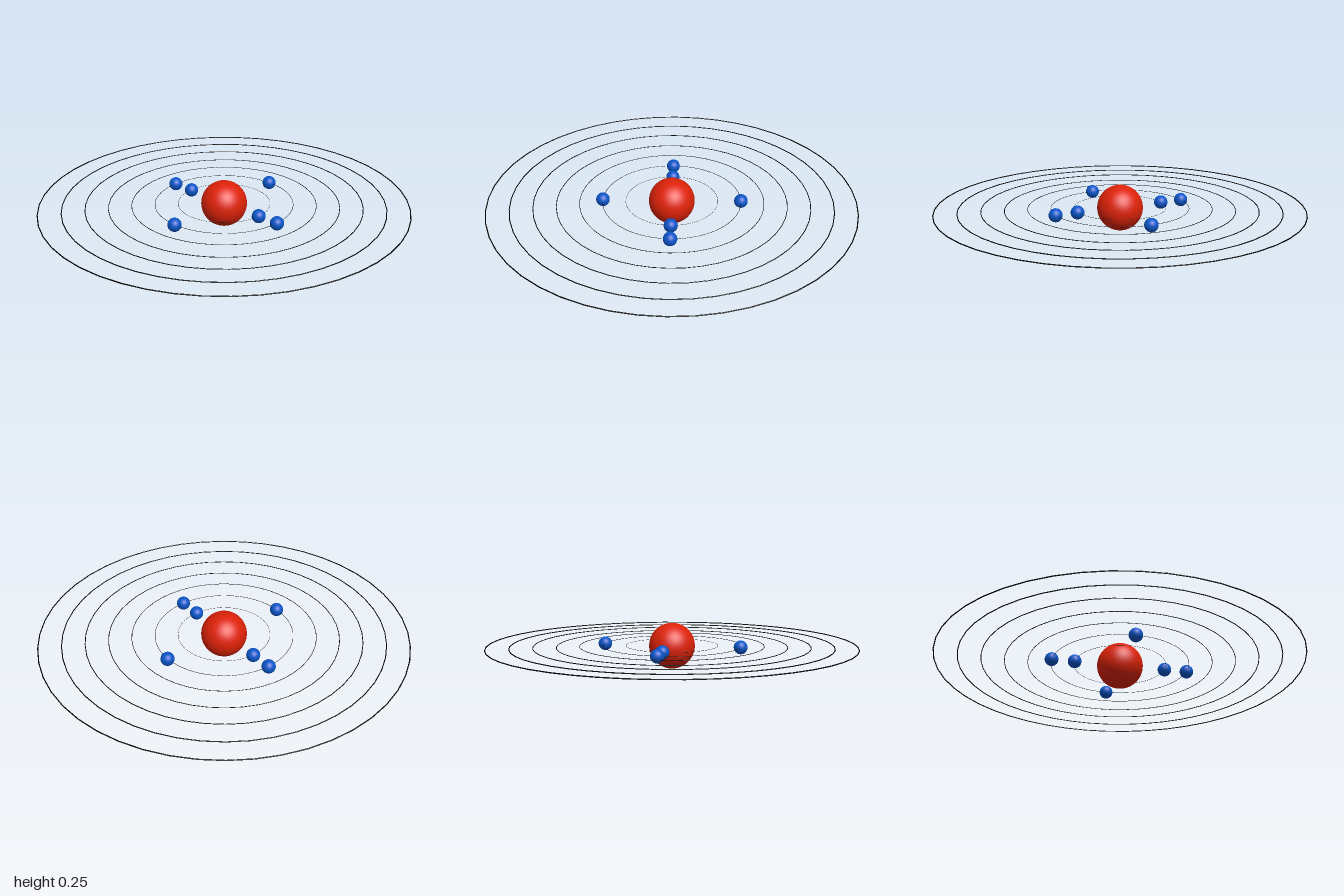
import * as THREE from 'three';

export function createModel() {
  const model = new THREE.Group();
  model.name = 'atomModel';
  const red = new THREE.MeshStandardMaterial({ color: 0xdd2208 });
  const blue = new THREE.MeshStandardMaterial({ color: 0x0a55c8 });
  const black = new THREE.MeshStandardMaterial({ color: 0x000000 });
  const midY = 0.126;

  function add(name, geometry, material, x = 0, y = midY, z = 0) {
    const mesh = new THREE.Mesh(geometry, material);
    mesh.name = name;
    mesh.position.set(x, y, z);
    model.add(mesh);
    return mesh;
  }

  // Nucleus
  add('nucleus', new THREE.SphereGeometry(0.124, 48, 32), red, 0, 0.124);

  // Seven evenly spaced orbits, the wire thinning towards the centre
  for (let i = 2; i <= 8; i++) {
    const radius = i * 0.125 * 0.997;
    const ring = new THREE.TorusGeometry(radius, 0.003 * radius, 8, 48);
    ring.rotateX(Math.PI / 2);
    add('orbit' + (i - 1), ring, black, 0, i === 5 ? midY - 0.003 : midY);
  }

  // Electrons: two on the first orbit, four on the second
  const electron = new THREE.SphereGeometry(0.037, 32, 20);
  const spots = [[0, 0.249], [0, -0.249], [0, 0.374], [0, -0.374], [0.374, 0], [-0.374, 0]];
  spots.forEach(([x, z], i) => add('electron' + (i + 1), electron, blue, x, midY, z));

  return model;
}
